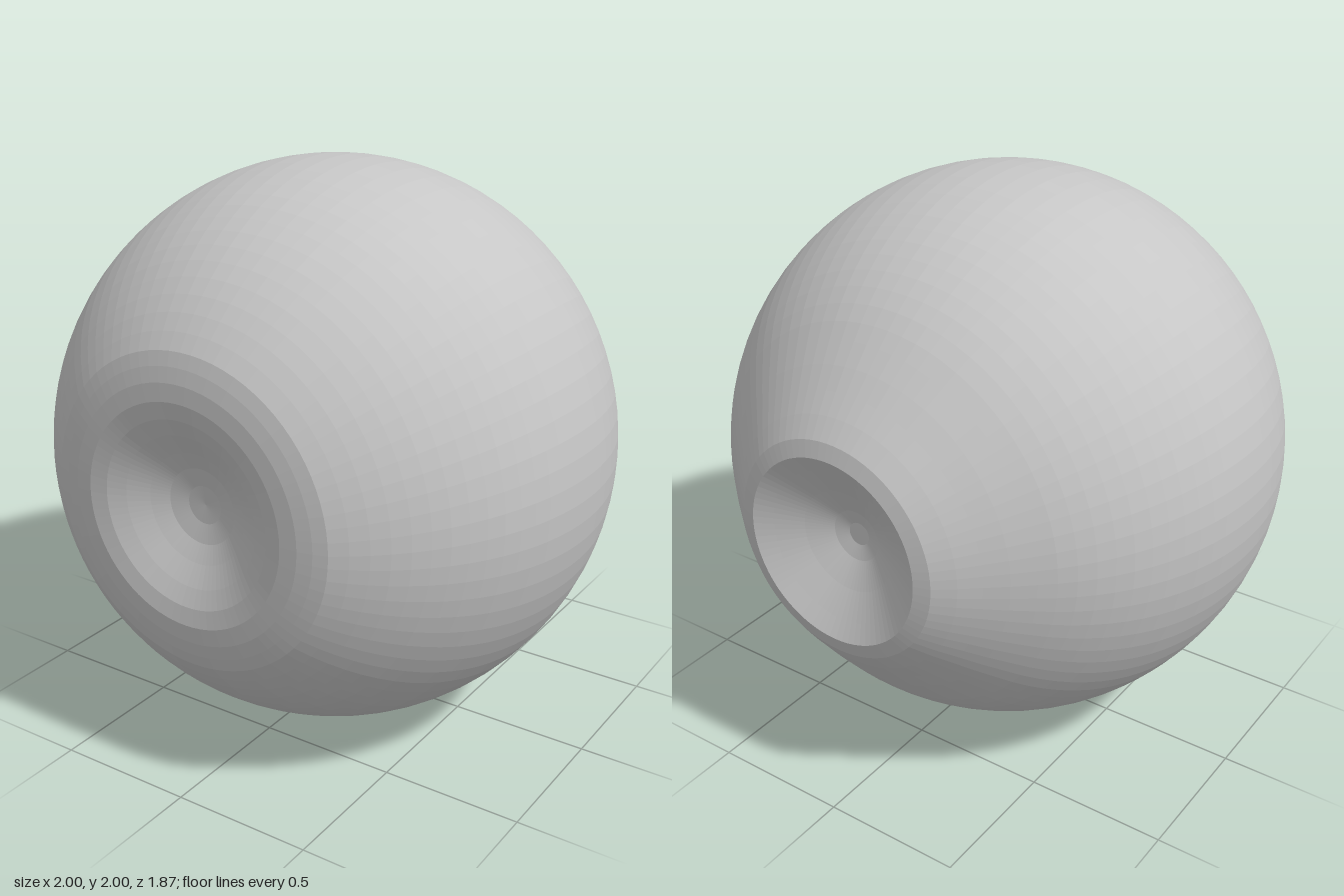
import * as THREE from 'three';

// Round fruit-like body lying on its side: one turned profile with a dimple at each end.
export function createModel() {
  const group = new THREE.Group();
  group.name = 'dimpledBall';

  const grey = new THREE.MeshStandardMaterial({ color: 0xc6c6c6 });
  grey.name = 'plain grey';
  grey.flatShading = true;

  const profile = [];
  const add = (r, z) => profile.push(new THREE.Vector2(r, z));

  // back dimple, narrow rim and straight shoulder: radius, z
  [[0, -0.79], [0.04, -0.79], [0.09, -0.805], [0.18, -0.85], [0.27, -0.9], [0.33, -0.934],
    [0.385, -0.917], [0.45, -0.868], [0.51, -0.818], [0.575, -0.765]].forEach(([r, z]) => add(r, z));

  // spherical belly, widest just ahead of the middle
  for (let i = -14; i <= 16; i++) {
    const t = THREE.MathUtils.degToRad(i * 3.6);
    add(Math.cos(t), 0.06 + Math.sin(t));
  }

  // soft front rim and shallow dimple
  [[0.49, 0.919], [0.44, 0.93], [0.38, 0.934], [0.32, 0.922], [0.26, 0.895],
    [0.19, 0.858], [0.13, 0.83], [0.065, 0.814], [0, 0.81]].forEach(([r, z]) => add(r, z));

  const geometry = new THREE.LatheGeometry(profile, 80);
  geometry.rotateX(Math.PI / 2);
  const body = new THREE.Mesh(geometry, grey);
  body.name = 'body';
  body.position.y = 1;
  group.add(body);
  return group;
}
